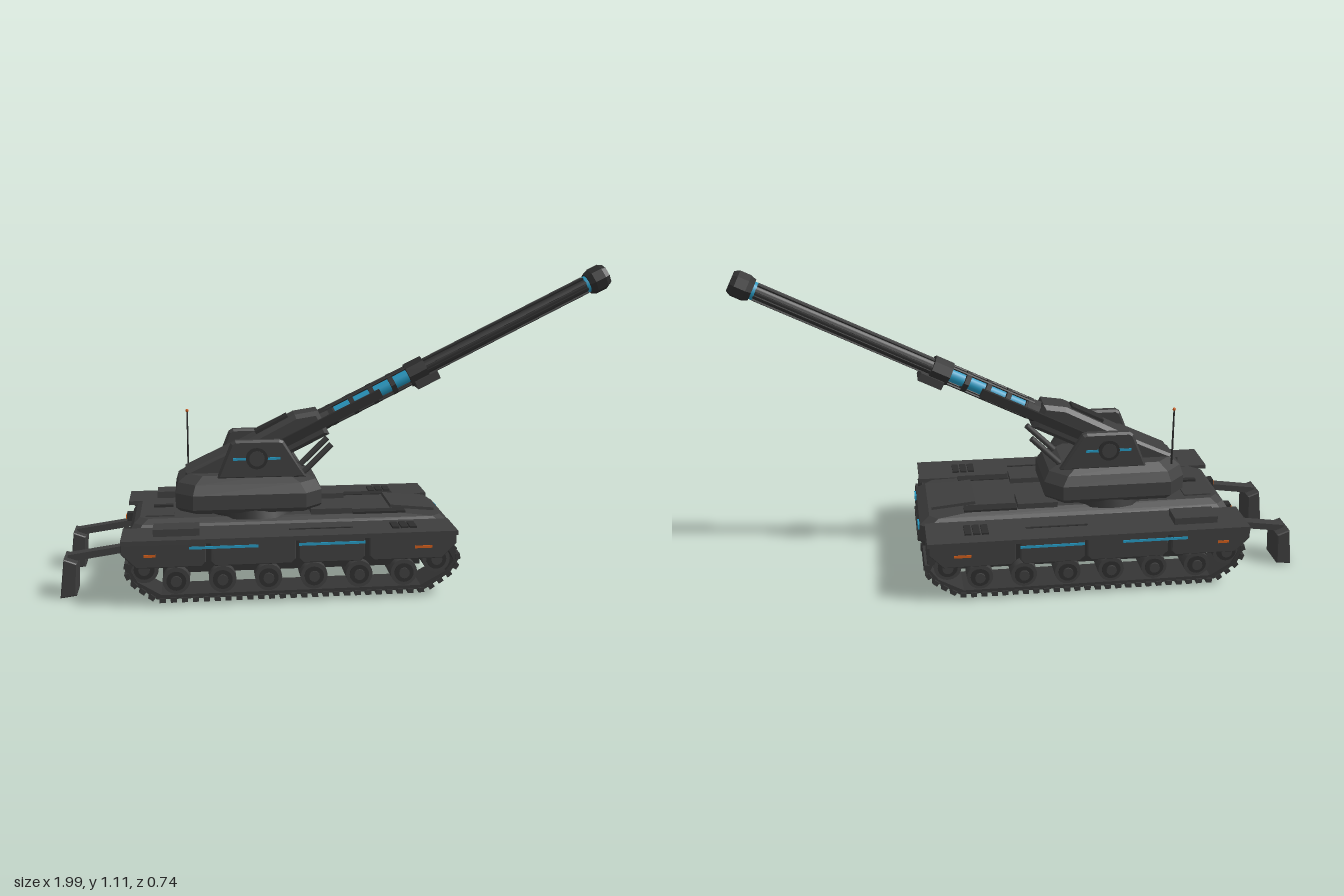
import * as THREE from 'three';

const mat = (name, color) => Object.assign(new THREE.MeshStandardMaterial({ color }), { name });

export function createModel() {
  const body = mat('body grey', 0x3d3d3d);
  const dark = mat('dark metal', 0x2d2d2d);
  const trackMat = mat('track grey', 0x353535);
  const blue = mat('blue glow', 0x2596be);
  const orange = mat('orange marker', 0xc85a1a);
  const root = new THREE.Group();
  root.name = 'artilleryTank';

  // Helpers
  const add = (name, geo, m, x = 0, y = 0, z = 0, parent = root) => {
    const mesh = new THREE.Mesh(geo, m);
    mesh.name = name;
    mesh.position.set(x, y, z);
    parent.add(mesh);
    return mesh;
  };
  const box = (name, m, w, h, d, x, y, z, parent) => add(name, new THREE.BoxGeometry(w, h, d), m, x, y, z, parent);
  // Cylinder along z (axis 'z') or along x (axis 'x')
  const cyl = (name, m, r0, r1, len, sides, axis, x, y, z, parent) => {
    let g = new THREE.CylinderGeometry(r0, r1, len, sides);
    if (axis === 'x') g.rotateZ(-Math.PI / 2);
    if (axis === 'z') g.rotateX(Math.PI / 2);
    if (sides <= 10) { g = g.toNonIndexed(); g.computeVertexNormals(); }
    return add(name, g, m, x, y, z, parent);
  };
  // Side profile extruded across z, centred on z = 0, with a small bevel
  const plate = (pts, depth, bevel = 0) => {
    const shape = new THREE.Shape(pts.map(p => new THREE.Vector2(...p)));
    const g = new THREE.ExtrudeGeometry(shape, {
      depth: depth - 2 * bevel, bevelEnabled: bevel > 0, bevelSize: bevel, bevelThickness: bevel,
      bevelOffset: -bevel, bevelSegments: 1,
    });
    return g.translate(0, 0, -depth / 2 + bevel);
  };
  // Stacked chamfered rectangles: each layer is [y, x0, x1, halfZ, chamfer]
  const loft = layers => {
    const rings = layers.map(([y, a, b, z, c]) => [
      [a + c, z], [b - c, z], [b, z - c], [b, c - z], [b - c, -z], [a + c, -z], [a, c - z], [a, z - c],
    ].map(p => [p[0], y, p[1]]));
    const v = [];
    const tri = (...t) => t.forEach(p => v.push(...p));
    for (let i = 0; i + 1 < rings.length; i++) for (let j = 0; j < 8; j++) {
      const k = (j + 1) % 8, lo = rings[i], hi = rings[i + 1];
      tri(lo[j], lo[k], hi[k]);
      tri(lo[j], hi[k], hi[j]);
    }
    const bot = rings[0], top = rings[rings.length - 1];
    for (let j = 1; j < 7; j++) {
      tri(top[0], top[j], top[j + 1]);
      tri(bot[0], bot[j + 1], bot[j]);
    }
    const g = new THREE.BufferGeometry();
    g.setAttribute('position', new THREE.Float32BufferAttribute(v, 3));
    g.computeVertexNormals();
    return g;
  };

  // Hull, deck and glacis
  add('hull', loft([
    [0.1, -0.7, 0.28, 0.165, 0.02], [0.13, -0.755, 0.355, 0.185, 0.03], [0.16, -0.77, 0.37, 0.195, 0.03],
    [0.215, -0.765, 0.365, 0.195, 0.03], [0.24, -0.75, 0.33, 0.175, 0.03], [0.255, -0.73, 0.17, 0.15, 0.03],
  ]), body);
  box('engineDeck', body, 0.1, 0.02, 0.25, -0.66, 0.25, 0);
  box('deckRib', dark, 0.07, 0.012, 0.02, -0.65, 0.262, 0);
  box('nosePlate', dark, 0.012, 0.025, 0.25, 0.367, 0.145, 0);
  const glacis = box('glacisPanel', body, 0.16, 0.012, 0.2, 0.24, 0.253, 0);
  glacis.rotation.z = -0.1;

  // Turret body and ring
  cyl('turretRing', dark, 0.17, 0.18, 0.03, 32, 'y', -0.33, 0.263, 0);
  add('turret', loft([
    [0.27, -0.59, -0.1, 0.165, 0.06], [0.285, -0.605, -0.09, 0.175, 0.06], [0.335, -0.605, -0.09, 0.172, 0.06],
    [0.37, -0.595, -0.11, 0.155, 0.06], [0.395, -0.56, -0.16, 0.12, 0.05],
  ]), body);
  add('breechCover', plate([[-0.57, 0.385], [-0.57, 0.4], [-0.4, 0.48], [-0.34, 0.48], [-0.34, 0.385]], 0.15, 0.01), body);
  cyl('antenna', dark, 0.003, 0.004, 0.21, 6, 'y', -0.56, 0.485, -0.11);
  add('antennaTip', new THREE.SphereGeometry(0.006, 8, 6), orange, -0.56, 0.592, -0.11);

  // Gun, built along x about the trunnion and then raised
  const gun = new THREE.Group();
  gun.name = 'gun';
  gun.position.set(-0.3, 0.456, 0);
  gun.rotation.z = 0.458;
  root.add(gun);
  add('cradle', plate([[-0.1, -0.05], [-0.1, 0.065], [0.17, 0.07], [0.25, 0.045], [0.25, -0.05]], 0.12, 0.015), body, 0, 0, 0, gun);
  box('cradleTop', dark, 0.13, 0.012, 0.06, 0.08, 0.072, 0, gun);
  cyl('sleeve', dark, 0.036, 0.042, 0.07, 8, 'x', 0.27, 0, 0, gun);
  cyl('glowCore', blue, 0.024, 0.024, 0.35, 16, 'x', 0.43, 0, 0, gun);
  for (const s of [0.29, 0.375, 0.455, 0.535]) cyl('coilRing', dark, 0.04, 0.04, 0.018, 8, 'x', s, 0, 0, gun);
  for (const y of [-0.031, 0.031]) for (const z of [-0.016, 0.016])
    cyl('coilRod', dark, 0.005, 0.005, 0.33, 6, 'x', 0.44, y, z, gun);
  cyl('collar', dark, 0.045, 0.045, 0.07, 8, 'x', 0.635, 0, 0, gun);
  box('collarFoot', body, 0.09, 0.03, 0.085, 0.655, -0.04, 0, gun);
  cyl('barrel', dark, 0.027, 0.029, 0.72, 16, 'x', 0.99, 0, 0, gun);
  for (let i = 0; i < 8; i++) {
    const a = (i + 0.5) * Math.PI / 4;
    const rib = box('barrelRib', dark, 0.66, 0.009, 0.009, 1.0, Math.cos(a) * 0.028, Math.sin(a) * 0.028, gun);
    rib.rotation.x = a;
  }
  cyl('muzzleBand', blue, 0.032, 0.032, 0.012, 16, 'x', 1.335, 0, 0, gun);
  cyl('muzzleBase', dark, 0.048, 0.04, 0.02, 8, 'x', 1.35, 0, 0, gun);
  cyl('muzzleBrake', dark, 0.048, 0.048, 0.04, 8, 'x', 1.38, 0, 0, gun);
  cyl('muzzleTip', dark, 0.038, 0.048, 0.018, 8, 'x', 1.409, 0, 0, gun);

  // Track outline shared by both sides
  const outer = [[-0.67, 0.027], [0.24, 0.027], [0.33, 0.085], [0.358, 0.13], [0.34, 0.175], [0.29, 0.193],
    [-0.71, 0.193], [-0.755, 0.175], [-0.772, 0.135], [-0.75, 0.085]];
  const outline = new THREE.Shape(outer.map(p => new THREE.Vector2(...p)));
  outline.closePath();
  const cleats = outline.getSpacedPoints(66);
  const band = new THREE.Shape(outer.map(p => new THREE.Vector2(...p)));
  band.holes.push(new THREE.Path(outer.map(([x, y]) =>
    new THREE.Vector2(-0.207 + (x + 0.207) * 0.968, 0.11 + (y - 0.11) * 0.82))));
  const bandGeo = new THREE.ExtrudeGeometry(band, { depth: 0.14, bevelEnabled: false }).translate(0, 0, -0.07);

  for (const s of [1, -1]) {
    const side = new THREE.Group();
    side.name = s > 0 ? 'leftSide' : 'rightSide';
    root.add(side);
    const sb = (name, m, w, h, d, x, y, z) => box(name, m, w, h, d, x, y, z * s, side);
    const sc = (name, m, r0, r1, len, n, axis, x, y, z) => cyl(name, m, r0, r1, len, n, axis, x, y, z * s, side);

    // Running gear
    add('trackBand', bandGeo, trackMat, 0, 0, 0.277 * s, side);
    for (let i = 0; i < 66; i++) {
      const p = cleats[i], q = cleats[i + 1];
      const a = Math.atan2(q.y - p.y, q.x - p.x);
      const c = sb('trackCleat', trackMat, 0.02, 0.016, 0.153, (p.x + q.x) / 2 + Math.sin(a) * 0.003,
        (p.y + q.y) / 2 - Math.cos(a) * 0.003, 0.277);
      c.rotation.z = a;
    }
    sb('suspensionBeam', dark, 0.88, 0.07, 0.09, -0.21, 0.14, 0.26);
    const wheel = (name, x, y, r) => {
      sc(name, body, r, r, 0.13, 20, 'z', x, y, 0.277);
      sc(name + 'Dish', dark, r * 0.72, r * 0.72, 0.008, 20, 'z', x, y, 0.343);
      sc(name + 'Hub', body, r * 0.4, r * 0.4, 0.02, 12, 'z', x, y, 0.345);
    };
    for (let i = 0; i < 6; i++) wheel('roadWheel', -0.605 + i * 0.1546, 0.088, 0.046);
    wheel('driveSprocket', -0.71, 0.132, 0.048);
    wheel('idler', 0.28, 0.132, 0.048);

    // Fender, skirt panels and painted strips
    sb('fender', body, 1.135, 0.015, 0.17, -0.2175, 0.228, 0.283);
    [[-0.785, -0.505], [-0.49, -0.205], [-0.195, 0.03], [0.045, 0.345]].forEach(([a, b], i) => {
      const l = i === 0 ? 0.05 : 0.015, r = i === 3 ? 0.05 : 0.015;
      add('skirtPanel', plate([[a + l, 0.142], [b - r, 0.142], [b, 0.142 + r], [b, 0.225], [a, 0.225], [a, 0.142 + l]],
        0.016, 0.003), body, 0, 0, 0.36 * s, side);
    });
    sb('skirtBacking', dark, 1.08, 0.05, 0.006, -0.22, 0.195, 0.353);
    for (const [a, b] of [[-0.56, -0.33], [-0.195, 0.03]])
      sb('blueStrip', blue, b - a, 0.009, 0.004, (a + b) / 2, 0.207, 0.369);
    for (const [a, b] of [[-0.71, -0.67], [0.2, 0.26]])
      sb('orangeMarker', orange, b - a, 0.009, 0.004, (a + b) / 2, 0.184, 0.369);
    sb('stowageBox', body, 0.155, 0.026, 0.085, -0.602, 0.247, 0.278);
    for (let i = 0; i < 3; i++) sb('ventSlat', dark, 0.024, 0.008, 0.07, 0.145 + i * 0.03, 0.238, 0.278);
    sb('fenderSeam', dark, 0.22, 0.004, 0.008, -0.11, 0.236, 0.28);

    // Deck hatches, lamps and hooks
    sb('deckHatch', body, 0.145, 0.02, 0.09, -0.06, 0.264, 0.115);
    sb('frontHatch', dark, 0.19, 0.008, 0.045, 0.11, 0.254, 0.135);
    sb('headlight', blue, 0.014, 0.018, 0.05, 0.365, 0.2, 0.125);
    sb('towHook', dark, 0.025, 0.025, 0.014, 0.352, 0.118, 0.145);
    sb('rearLampHousing', dark, 0.025, 0.03, 0.035, -0.775, 0.2, 0.115);
    sb('rearLamp', orange, 0.005, 0.015, 0.025, -0.789, 0.2, 0.115);

    // Trunnion cheek with its disc and light strips
    add('turretCheek', plate([[-0.46, 0.385], [-0.145, 0.385], [-0.225, 0.515], [-0.24, 0.52], [-0.395, 0.52], [-0.41, 0.51]],
      0.035, 0.008), body, 0, 0, 0.118 * s, side);
    sc('trunnionDisc', dark, 0.038, 0.038, 0.016, 24, 'z', -0.32, 0.457, 0.136);
    sc('trunnionCap', body, 0.027, 0.027, 0.02, 24, 'z', -0.32, 0.457, 0.137);
    sb('cheekStrip', blue, 0.045, 0.009, 0.008, -0.38, 0.455, 0.134);
    sb('cheekStrip', blue, 0.05, 0.009, 0.008, -0.262, 0.455, 0.134);

    // Cradle rail and smoke tube beside the gun
    box('cradleRail', dark, 0.42, 0.032, 0.018, 0.27, 0, 0.064 * s, gun);
    const tube = sc('smokeTube', body, 0.011, 0.011, 0.17, 12, 'y', -0.11, 0.428, 0.066);
    tube.rotation.z = -0.8;
    sb('tubeFoot', dark, 0.05, 0.03, 0.035, -0.165, 0.375, 0.064);

    // Rear recoil spade and arm
    const arm = sb('spadeArm', body, 0.22, 0.024, 0.04, -0.865, 0.15, 0.173);
    arm.rotation.z = 0.14;
    add('recoilSpade', plate([[-1, 0.005], [-0.945, 0.012], [-0.94, 0.125], [-0.985, 0.142]], 0.115, 0.004), body, 0, 0, 0.173 * s, side);
  }
  return root;
}
